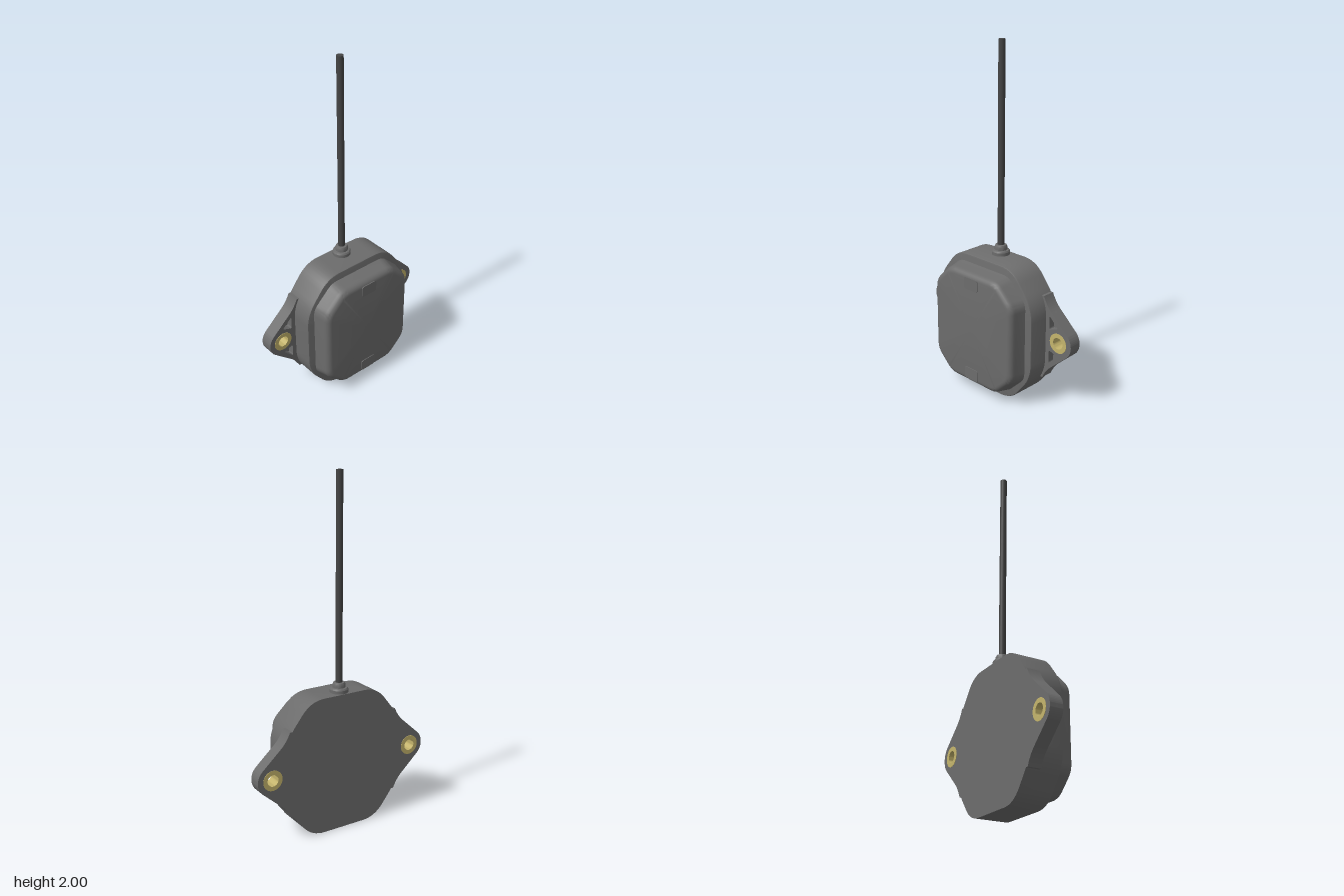
import * as THREE from 'three';
import { toCreasedNormals } from 'three/addons/utils/BufferGeometryUtils.js';

const CY = 0.4, BACK = -0.15;

// Polygon with rounded corners, as a list of points
function roundedPoly(verts, r, segs = 8) {
  const v = verts.map(([x, y]) => new THREE.Vector2(x, y));
  return v.flatMap((p, i) => {
    const prev = v[(i + v.length - 1) % v.length], next = v[(i + 1) % v.length];
    const a = p.clone().add(prev.clone().sub(p).setLength(r));
    const b = p.clone().add(next.clone().sub(p).setLength(r));
    return new THREE.QuadraticBezierCurve(a, p, b).getPoints(segs);
  });
}

// Counter-clockwise octagon inset by d
function octagon({ w, h, cx, cy, r }, d) {
  const W = w - d, H = h - d, X = W - cx + 0.586 * d, Y = H - cy + 0.586 * d;
  return roundedPoly([[W, -Y], [W, Y], [X, H], [-X, H], [-W, Y], [-W, -Y], [-X, -H], [X, -H]], r);
}

// Solid made from octagon sections [inset, z], capped at both ends
function loft(spec, sections) {
  const pos = [], idx = [];
  let n = 0;
  for (const [d, z] of sections) {
    const pts = octagon(spec, d);
    n = pts.length;
    pts.forEach(p => pos.push(p.x, p.y, z));
  }
  const last = (sections.length - 1) * n, c0 = sections.length * n;
  pos.push(0, 0, sections[0][1], 0, 0, sections[sections.length - 1][1]);
  for (let i = 0; i < n; i++) {
    const j = (i + 1) % n;
    for (let k = 0; k < last; k += n) idx.push(k + i, k + j, k + n + j, k + i, k + n + j, k + n + i);
    idx.push(c0, j, i, c0 + 1, last + i, last + j);
  }
  const g = new THREE.BufferGeometry();
  g.setAttribute('position', new THREE.Float32BufferAttribute(pos, 3));
  g.setIndex(idx);
  return toCreasedNormals(g, 0.6);
}

function circlePath(x, y, r) {
  return new THREE.Path().absarc(x, y, r, 0, Math.PI * 2, true);
}

function extrude(shape, depth) {
  const g = new THREE.ExtrudeGeometry(shape, { depth, bevelEnabled: false, curveSegments: 24 });
  return toCreasedNormals(g, 0.6);
}

export function createModel() {
  const grey = new THREE.MeshStandardMaterial({ color: 0x6c6c6c });
  grey.name = 'housingGrey';
  const dark = new THREE.MeshStandardMaterial({ color: 0x444444 });
  dark.name = 'cableGrey';
  const brass = new THREE.MeshStandardMaterial({ color: 0xc4b46c });
  brass.name = 'brass';

  const model = new THREE.Group();
  model.name = 'sensor';
  const add = (name, geo, mat, x, y, z, parent = model) => {
    const m = new THREE.Mesh(geo, mat);
    m.name = name;
    m.position.set(x, y, z);
    parent.add(m);
    return m;
  };

  // Housing and tapered cover
  add('housing', loft({ w: 0.365, h: 0.4, cx: 0.15, cy: 0.19, r: 0.085 },
    [[0, BACK], [0, 0.037], [0.003, 0.043], [0.01, 0.045]]), grey, 0, CY, 0);
  const cover = [[0, 0.04], [0.014, 0.105]];
  for (let i = 1; i <= 6; i++) {
    const a = i / 6 * Math.PI / 2;
    cover.push([0.014 + 0.035 * (1 - Math.cos(a)), 0.107 + 0.038 * Math.sin(a)]);
  }
  add('cover', loft({ w: 0.32, h: 0.355, cx: 0.13, cy: 0.125, r: 0.04 }, cover), grey, 0, CY, 0);

  // Raised clips at the top and bottom of the cover
  for (const s of [1, -1]) {
    const pts = roundedPoly([[-0.052, 0.245 * s], [0.052, 0.245 * s], [0.052, 0.315 * s], [-0.052, 0.315 * s]], 0.015, 5);
    add('coverClip', extrude(new THREE.Shape(pts), 0.009), grey, 0, CY, 0.14);
  }

  // Mounting ears: solid back layer, front layer with triangular pockets
  const earShape = () => {
    const a = 0.86, R = 0.09, hx = 0.455;
    const tx = hx + R * Math.cos(a), ty = R * Math.sin(a);
    const s = new THREE.Shape();
    s.moveTo(0.33, -0.25);
    s.lineTo(0.347, -0.25);
    s.quadraticCurveTo(0.368, -0.198, 0.41, -0.162);
    s.lineTo(tx, -ty);
    s.absarc(hx, 0, R, -a, a, false);
    s.lineTo(0.41, 0.162);
    s.quadraticCurveTo(0.368, 0.198, 0.347, 0.25);
    s.lineTo(0.33, 0.25);
    s.holes.push(circlePath(hx, 0, 0.057));
    return s;
  };
  const front = earShape();
  for (const s of [1, -1]) {
    front.holes.push(new THREE.Path(roundedPoly([[0.39, 0.145 * s], [0.39, 0.062 * s], [0.452, 0.086 * s]], 0.012, 4)));
  }
  const ring = new THREE.Shape().absarc(0, 0, 0.058, 0, Math.PI * 2, false);
  ring.holes.push(circlePath(0, 0, 0.033));
  const backGeo = extrude(earShape(), 0.035), frontGeo = extrude(front, 0.04), ringGeo = extrude(ring, 0.079);
  for (const side of [0, 1]) {
    const ear = new THREE.Group();
    ear.name = side ? 'rightEar' : 'leftEar';
    ear.position.y = CY;
    // The right ear is mirrored by a half turn about z
    ear.rotation.z = side * Math.PI;
    model.add(ear);
    add('earBack', backGeo, grey, 0, 0, BACK, ear);
    add('earFront', frontGeo, grey, 0, 0, BACK + 0.035, ear);
    add('bushing', ringGeo, brass, 0.455, 0, BACK - 0.002, ear);
  }

  // Stepped cable gland and cable
  const profile = [[0, 0.78], [0.052, 0.78], [0.052, 0.818], [0.047, 0.826], [0.036, 0.828],
    [0.036, 0.846], [0.031, 0.856], [0, 0.857]].map(([x, y]) => new THREE.Vector2(x, y));
  add('cableGland', toCreasedNormals(new THREE.LatheGeometry(profile, 32), 0.5), grey, 0, 0, -0.093);
  add('cable', new THREE.CylinderGeometry(0.019, 0.019, 1.15, 24), dark, 0, 1.425, -0.093);

  return model;
}
